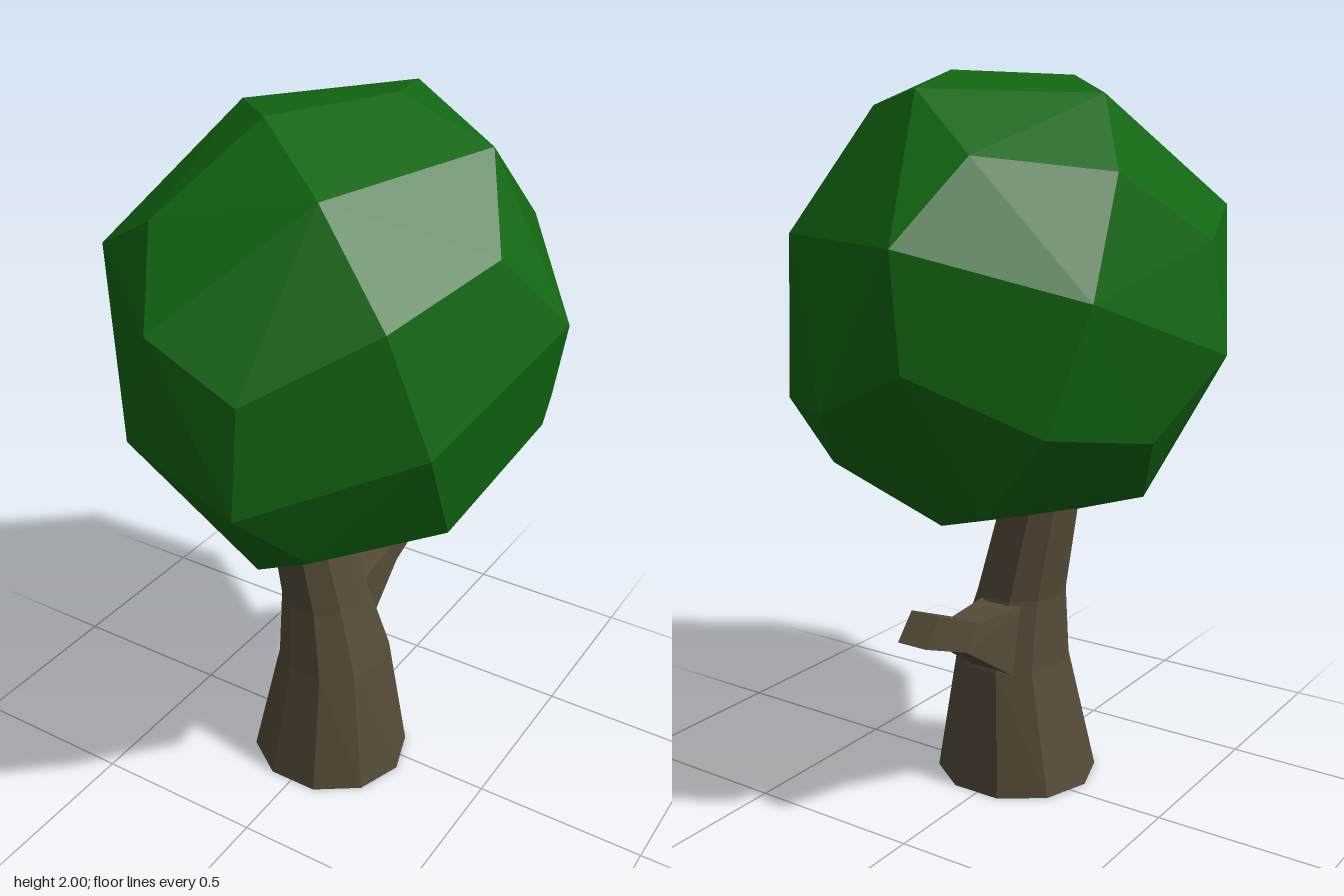
import * as THREE from 'three';
import { ConvexGeometry } from 'three/addons/geometries/ConvexGeometry.js';

// Skin a list of equal-sized point rings into a capped, faceted solid
function loft(rings) {
  const pos = [];
  const tri = (a, b, c) => [a, b, c].forEach((p) => pos.push(p.x, p.y, p.z));
  const n = rings[0].length;
  for (let k = 0; k < rings.length - 1; k++) {
    const lo = rings[k], hi = rings[k + 1];
    for (let i = 0; i < n; i++) {
      const j = (i + 1) % n;
      tri(lo[i], hi[i], hi[j]);
      tri(lo[i], hi[j], lo[j]);
    }
  }
  const first = rings[0], last = rings[rings.length - 1];
  for (let i = 1; i < n - 1; i++) {
    tri(first[0], first[i], first[i + 1]);
    tri(last[0], last[i + 1], last[i]);
  }
  const geo = new THREE.BufferGeometry();
  geo.setAttribute('position', new THREE.Float32BufferAttribute(pos, 3));
  geo.computeVertexNormals();
  return geo;
}

// Faceted crown: half of the corners, the rest mirrored through the centre
function crownGeometry() {
  const half = [
    [0.31, 1.60, -0.52], [0.38, 1.91, -0.09], [0.50, 1.71, 0.09], [0.61, 1.50, -0.09],
    [0.11, 2.00, -0.10], [-0.07, 1.99, 0.22], [0.00, 1.95, -0.40], [-0.22, 1.80, -0.49],
    [-0.14, 1.60, -0.69], [-0.15, 1.31, -0.67], [0.09, 1.19, -0.68], [0.23, 1.01, -0.47],
    [0.46, 1.14, -0.38], [0.56, 1.21, -0.09], [0.41, 1.64, 0.46], [0.50, 1.32, 0.40],
    [0.47, 1.03, 0.24], [0.31, 0.85, 0.03], [0.19, 1.88, 0.39],
  ];
  const corners = half.flatMap(([x, y, z]) => {
    const p = new THREE.Vector3(x, y - 1.395, z);
    return [p, p.clone().negate()];
  });
  // Connect the corners on a unit sphere, then push each back to its own radius
  const dirs = corners.map((p) => p.clone().normalize());
  const geo = new ConvexGeometry(dirs);
  const pos = geo.attributes.position;
  const v = new THREE.Vector3();
  for (let i = 0; i < pos.count; i++) {
    v.fromBufferAttribute(pos, i);
    let best = 0;
    dirs.forEach((d, k) => {
      if (d.distanceToSquared(v) < dirs[best].distanceToSquared(v)) best = k;
    });
    pos.setXYZ(i, corners[best].x, corners[best].y, corners[best].z);
  }
  geo.translate(0, 1.395, 0);
  geo.computeVertexNormals();
  return geo;
}

export function createModel() {
  const group = new THREE.Group();
  const leaf = new THREE.MeshStandardMaterial({ color: 0x116611, flatShading: true });
  const bark = new THREE.MeshStandardMaterial({ color: 0x554b38, flatShading: true });
  const add = (name, geo, mat) => {
    const mesh = new THREE.Mesh(geo, mat);
    mesh.name = name;
    group.add(mesh);
  };

  add('crown', crownGeometry(), leaf);

  // Leaning trunk: height, centre x, centre z, radius x, radius z
  const sides = 10;
  const trunkRings = [
    [0.00, 0.005, 0.055, 0.235, 0.225],
    [0.36, 0.010, 0.040, 0.160, 0.170],
    [0.56, -0.015, 0.050, 0.125, 0.130],
    [0.80, -0.060, 0.065, 0.110, 0.115],
    [0.92, -0.080, 0.070, 0.105, 0.110],
  ].map(([y, cx, cz, rx, rz]) => Array.from({ length: sides }, (_, i) => {
    const a = (i / sides) * Math.PI * 2;
    return new THREE.Vector3(cx + rx * Math.cos(a), y, cz + rz * Math.sin(a));
  }));
  add('trunk', loft(trunkRings), bark);

  // Branch stub at the back: top z, top y, bottom z, bottom y, half width
  const branchRings = [
    [0.00, 0.55, 0.00, 0.29, 0.07],
    [-0.23, 0.55, -0.29, 0.485, 0.045],
    [-0.41, 0.625, -0.47, 0.555, 0.045],
  ].map(([zt, yt, zb, yb, w]) => [
    [w, yt, zt], [-w, yt, zt], [-w, yb, zb], [w, yb, zb],
  ].map(([x, y, z]) => new THREE.Vector3(x - 0.015, y, z)));
  add('branch', loft(branchRings), bark);

  return group;
}
